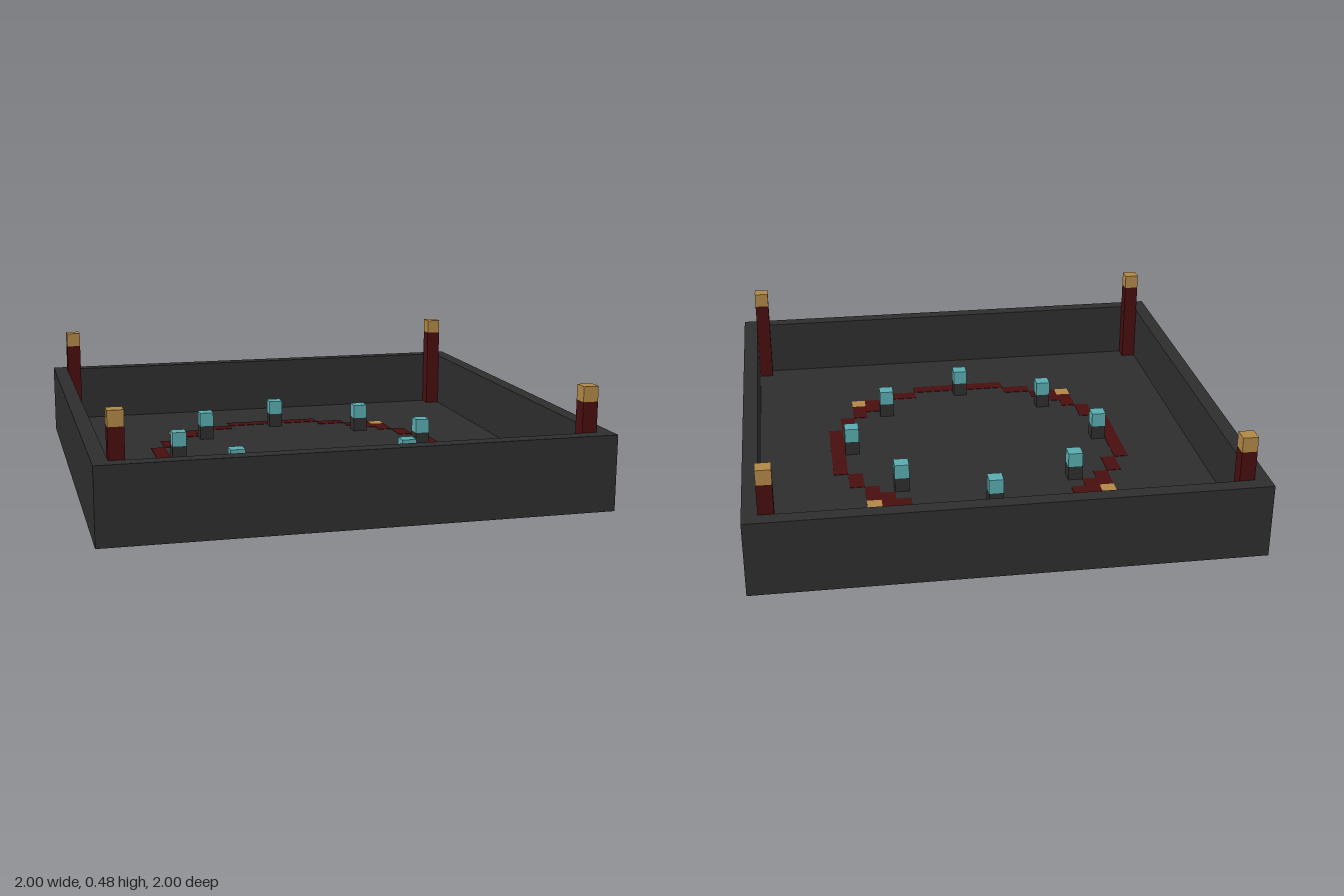
import * as THREE from 'three';

// One block; the arena is 33 blocks wide
const V = 2 / 33;

export function createModel() {
  const stone = new THREE.MeshStandardMaterial({ color: 0x2d2d2d });
  stone.name = 'dark stone';
  const red = new THREE.MeshStandardMaterial({ color: 0x480d0e });
  red.name = 'deep red';
  const gold = new THREE.MeshStandardMaterial({ color: 0xb08746 });
  gold.name = 'gold';
  const teal = new THREE.MeshStandardMaterial({ color: 0x59abb0 });
  teal.name = 'teal crystal';

  const model = new THREE.Group();
  model.name = 'arena';

  // Box in block units: centre x and z, bottom and top y, widths
  function block(parent, name, material, x, z, y0, y1, w = 1, d = 1) {
    const geometry = new THREE.BoxGeometry(w * V, (y1 - y0) * V, d * V);
    const mesh = new THREE.Mesh(geometry, material);
    mesh.position.set(x * V, (y0 + y1) / 2 * V, z * V);
    mesh.name = name;
    parent.add(mesh);
  }

  // Floor and surrounding walls
  block(model, 'floor', stone, 0, 0, 0.03, 1, 31, 31);
  for (const s of [-1, 1]) {
    block(model, 'frontBackWall', stone, 0, s * 16, 0, 5, 33, 1);
    block(model, 'sideWall', stone, s * 16, 0, 0, 5, 1, 31);
  }

  // Ring inlaid through the floor, one quarter at a time
  const inlayTop = 1.03;
  for (let i = 0; i < 4; i++) {
    const quarter = new THREE.Group();
    quarter.name = 'ringQuarter';
    quarter.rotation.y = i * Math.PI / 2;
    block(quarter, 'ringBar', red, 0, 10, 0, inlayTop, 7, 1);
    block(quarter, 'ringCorner', red, 7, 7, 0, inlayTop);
    block(quarter, 'ringGoldTile', gold, 8, 8, 0, inlayTop);
    for (const s of [-1, 1]) {
      block(quarter, 'ringStep', red, s * 4.5, 9, 0, inlayTop, 2, 1);
      block(quarter, 'ringStep', red, s * 6.5, 8, 0, inlayTop, 2, 1);
    }
    model.add(quarter);
  }

  // Corner pillars with gold caps
  for (const x of [-15, 15]) {
    for (const z of [-15, 15]) {
      block(model, 'pillar', red, x, z, 1, 7);
      block(model, 'pillarCap', gold, x, z, 7, 8);
    }
  }

  // Crystals on pedestals inside the ring
  const spots = [[0, 9], [0, -9], [9, 0], [-9, 0], [6, 6], [6, -6], [-6, 6], [-6, -6]];
  for (const [x, z] of spots) {
    block(model, 'pedestal', stone, x, z, 1, 2);
    block(model, 'crystal', teal, x, z, 2, 3);
  }

  return model;
}
